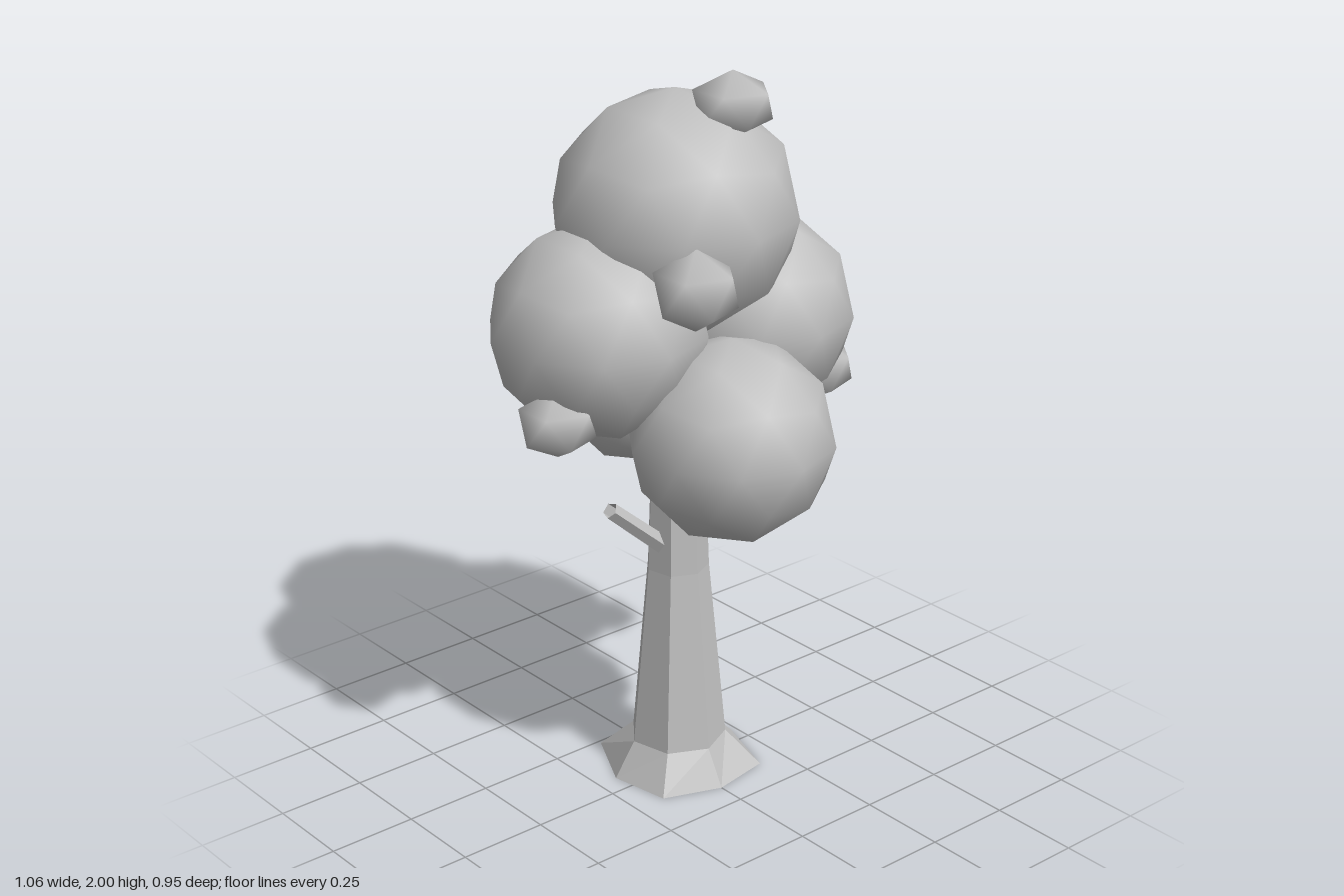
import * as THREE from 'three';

const grey = new THREE.MeshStandardMaterial({ color: 0xc0c0c0, side: THREE.DoubleSide });
grey.name = 'plain grey';

function addMesh(group, name, geometry) {
  const mesh = new THREE.Mesh(geometry, grey);
  mesh.name = name;
  group.add(mesh);
  return mesh;
}

// Smooth low-poly ball with a corner pointing straight up
function ball(radius, detail, sx = 1, sy = 1) {
  const g = new THREE.IcosahedronGeometry(radius, detail);
  g.setAttribute('normal', g.attributes.position.clone());
  g.normalizeNormals();
  g.rotateZ(-Math.atan(2 / (1 + Math.sqrt(5))));
  g.scale(sx, sy, sx);
  return g;
}

// Flat-faced open skin through closed rings of equal point count
function loft(rings) {
  const pos = [];
  for (let r = 0; r < rings.length - 1; r++) {
    const lo = rings[r], hi = rings[r + 1], n = lo.length;
    for (let i = 0; i < n; i++) {
      const j = (i + 1) % n;
      for (const p of [lo[i], lo[j], hi[j], lo[i], hi[j], hi[i]]) pos.push(...p);
    }
  }
  const g = new THREE.BufferGeometry();
  g.setAttribute('position', new THREE.Float32BufferAttribute(pos, 3));
  g.computeVertexNormals();
  return g;
}

// Seven-sided ring round the trunk axis
function ring(y, radius) {
  return Array.from({ length: 7 }, (_, i) => {
    const a = (i / 7) * Math.PI * 2;
    return [Math.sin(a) * radius, y, Math.cos(a) * radius - 0.02];
  });
}

export function createModel() {
  const tree = new THREE.Group();
  tree.name = 'tree';

  // Trunk with an uneven root flare, open underneath
  const roots = [[0, 0.17], [0.17, 0.14], [0.235, -0.06], [0.1, -0.22],
    [-0.1, -0.24], [-0.19, -0.06], [-0.16, 0.11]].map(([x, z]) => [x, 0, z]);
  addMesh(tree, 'trunk', loft([roots, ring(0.1, 0.135), ring(0.62, 0.087), ring(0.9, 0.077), ring(1.15, 0.06)]));

  // Short hollow branch stub
  const from = new THREE.Vector3(-0.05, 0.69, -0.015), to = new THREE.Vector3(-0.235, 0.85, -0.015);
  const stub = new THREE.CylinderGeometry(0.023, 0.026, from.distanceTo(to), 5, 1, true).toNonIndexed();
  stub.computeVertexNormals();
  const branch = addMesh(tree, 'branch', stub);
  branch.position.copy(from).lerp(to, 0.5);
  branch.quaternion.setFromUnitVectors(new THREE.Vector3(0, 1, 0), to.clone().sub(from).normalize());

  // Large leaf clumps: name, centre, radius
  for (const [name, x, y, z, r] of [
    ['topFoliage', 0.018, 1.615, -0.048, 0.33],
    ['rightFoliage', -0.225, 1.345, -0.067, 0.292],
    ['leftFoliage', 0.25, 1.3, -0.015, 0.284],
    ['frontFoliage', 0, 1.063, 0.2, 0.277],
    ['backFoliage', 0.045, 1.11, -0.225, 0.25],
  ]) addMesh(tree, name, ball(r, 1)).position.set(x, y, z);

  // Small leaf tufts: name, centre, radius, height scale
  for (const [name, x, y, z, r, sy] of [
    ['topTuft', 0.105, 1.91, 0.075, 0.105, 0.86],
    ['frontTuft', -0.145, 1.51, 0.225, 0.11, 1],
    ['rightTuft', -0.43, 1.163, 0.02, 0.1, 0.93],
    ['leftTuft', 0.43, 1.115, 0.06, 0.1, 0.93],
  ]) addMesh(tree, name, ball(r, 0, 1.1, sy)).position.set(x, y, z);

  return tree;
}
